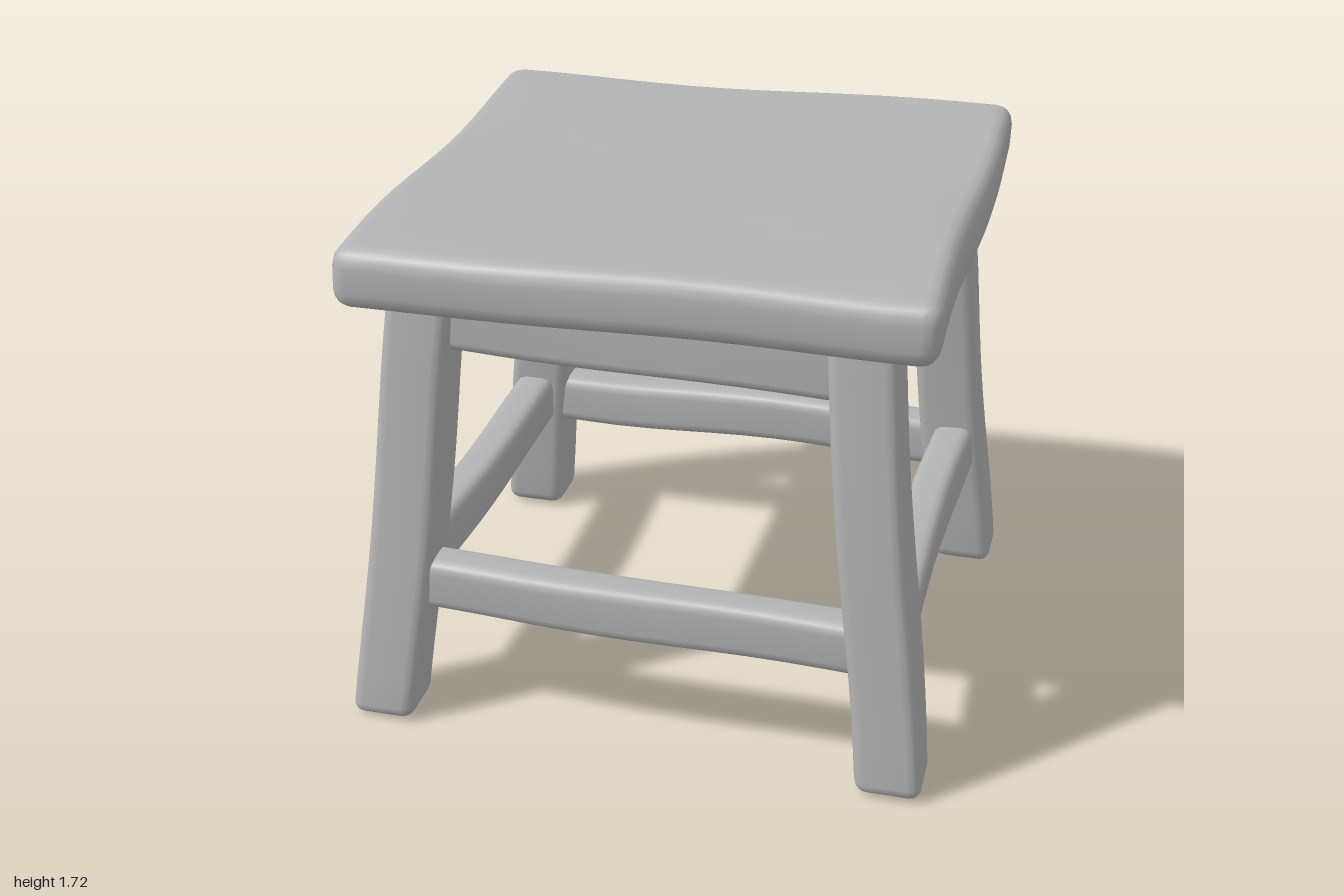
import * as THREE from 'three';
import { mergeVertices } from 'three/addons/utils/BufferGeometryUtils.js';

const V = (x, y, z) => new THREE.Vector3(x, y, z);
const wood = new THREE.MeshStandardMaterial({ color: 0xb4b4b4 });
wood.name = 'grey wood';

// Spread grid lines so the outer two steps on each side cover the rounded edge.
function spread(f, n, size, r) {
  const i = Math.round((f + 0.5) * n), h = size / 2;
  if (i <= 2) return -h + (r * i) / 2;
  if (i >= n - 2) return h - (r * (n - i)) / 2;
  return -h + r + ((size - 2 * r) * (i - 2)) / (n - 4);
}

// Worn, rounded block placed by three (possibly leaning) axes and slightly uneven.
function block(name, size, segs, r, axes, centre, wobble, seed) {
  let g = new THREE.BoxGeometry(1, 1, 1, ...segs);
  g.deleteAttribute('uv');
  g.deleteAttribute('normal');
  g = mergeVertices(g);
  const m = new THREE.Matrix4().makeBasis(...axes).setPosition(centre);
  const p = g.attributes.position, v = V(0, 0, 0), core = V(0, 0, 0);
  const half = V(...size).multiplyScalar(0.5).subScalar(r);
  for (let i = 0; i < p.count; i++) {
    v.set(
      spread(p.getX(i), segs[0], size[0], r),
      spread(p.getY(i), segs[1], size[1], r),
      spread(p.getZ(i), segs[2], size[2], r)
    );
    core.copy(v).clamp(half.clone().negate(), half);
    v.sub(core);
    if (v.lengthSq() > 0) v.setLength(r);
    v.add(core).applyMatrix4(m);
    const { x, y, z } = v;
    v.x += wobble * Math.sin(5 * y + 4 * z + seed);
    v.y += wobble * Math.sin(4.3 * x + 1.7 * seed) * Math.cos(5 * z + seed);
    v.z += wobble * Math.sin(5 * x + 4.5 * y + 2.3 * seed);
    p.setXYZ(i, v.x, v.y, v.z);
  }
  g.computeVertexNormals();
  const mesh = new THREE.Mesh(g, wood);
  mesh.name = name;
  return mesh;
}

export function createModel() {
  const stool = new THREE.Group();
  stool.name = 'stool';

  // Seat slab, slightly skewed and tilted
  stool.add(block('seat', [1.85, 0.2, 1.81], [18, 6, 18], 0.06,
    [V(1, 0.01, 0.065), V(0, 1, 0), V(-0.042, -0.013, 1)], V(0.007, 1.585, -0.005), 0.009, 1));

  // Splayed legs: foot and top centres, in order around the stool
  const legs = [
    ['frontRightLeg', V(-0.885, 0, 0.71), V(-0.715, 1.56, 0.56)],
    ['frontLeftLeg', V(0.8, 0, 0.85), V(0.645, 1.56, 0.71)],
    ['backLeftLeg', V(0.885, 0, -0.72), V(0.73, 1.56, -0.585)],
    ['backRightLeg', V(-0.79, 0, -0.85), V(-0.635, 1.56, -0.7)]
  ];
  legs.forEach(([name, foot, top], i) => {
    const lean = top.clone().sub(foot).divideScalar(1.56);
    stool.add(block(name, [0.215, 1.56, 0.215], [6, 16, 6], 0.042,
      [V(1, 0, 0.06), lean, V(-0.05, 0, 1)], foot.clone().lerp(top, 0.5), 0.006, i + 2));
  });

  // Rails between neighbouring legs: aprons below the seat, stretchers lower down
  const sides = ['front', 'left', 'back', 'right'];
  const rails = [
    ['Apron', 1.395, 0.25, 0.13, 0.035],
    ['Stretcher', 0.47, 0.18, 0.14, 0.04]
  ];
  for (const [label, y, height, depth, r] of rails) {
    sides.forEach((side, i) => {
      const [a, b] = [legs[i], legs[(i + 1) % 4]].map(l => l[1].clone().lerp(l[2], y / 1.56));
      const dir = b.clone().sub(a).normalize();
      const up = V(0, 1, 0);
      const out = dir.clone().cross(up);
      stool.add(block(side + label, [a.distanceTo(b), height, depth], [16, 6, 6], r,
        [dir, up, out], a.clone().lerp(b, 0.5), 0.01, i * 1.7 + y));
    });
  }
  return stool;
}
